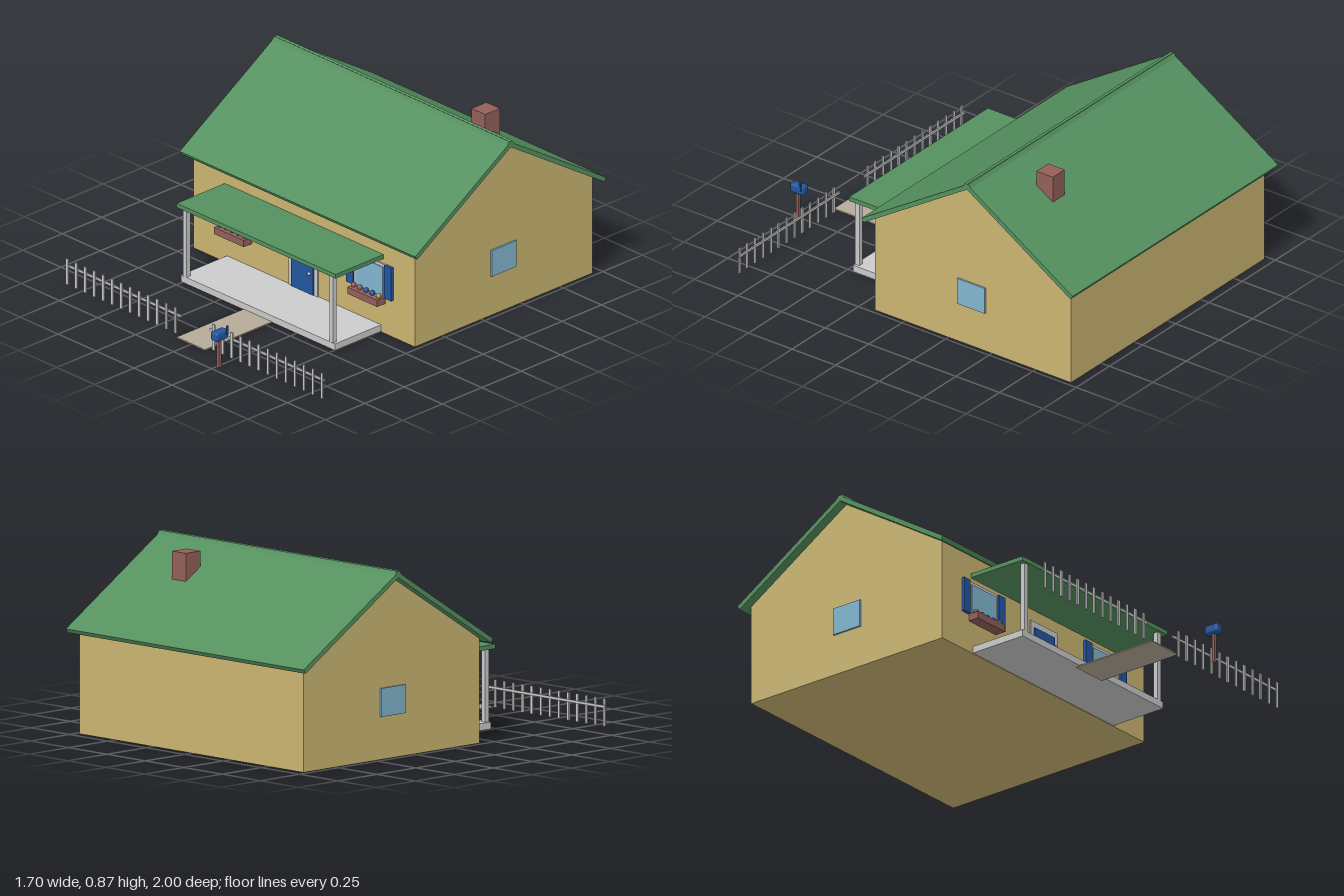
import * as THREE from 'three';
import { RoundedBoxGeometry } from 'three/addons/geometries/RoundedBoxGeometry.js';

const mat = (name, color) => Object.assign(new THREE.MeshStandardMaterial({ color }), { name });

export function createModel() {
  const root = new THREE.Group();
  root.name = 'cottage';
  const wall = mat('sandWall', 0xcab572);
  const green = mat('roofGreen', 0x55905f);
  const white = mat('paintedWhite', 0xcbcbcb);
  const blue = mat('shutterBlue', 0x2256a0);
  const glass = mat('windowGlass', 0x82b6cf);
  const brick = mat('brickRed', 0x935f59);
  const stone = mat('pathStone', 0xb6ab9a);
  const brass = mat('brass', 0xb89c58);

  const add = (parent, name, geometry, material, x = 0, y = 0, z = 0) => {
    const m = new THREE.Mesh(geometry, material);
    m.name = name;
    m.position.set(x, y, z);
    parent.add(m);
    return m;
  };
  // Box given by its lower and upper limits on each axis
  const box = (parent, name, material, [x0, x1], [y0, y1], [z0, z1]) =>
    add(parent, name, new THREE.BoxGeometry(x1 - x0, y1 - y0, z1 - z0), material,
      (x0 + x1) / 2, (y0 + y1) / 2, (z0 + z1) / 2);
  // Profile of (z, y) points stretched along x, centred
  const prism = (name, material, points, width) => {
    const shape = new THREE.Shape(points.map(([z, y]) => new THREE.Vector2(z, y)));
    const g = new THREE.ExtrudeGeometry(shape, { depth: width, bevelEnabled: false });
    g.rotateY(-Math.PI / 2).translate(width / 2, 0, 0);
    return add(root, name, g, material);
  };

  // House body with gables
  const ridgeZ = -0.392;
  prism('houseWalls', wall,
    [[0.172, 0], [0.172, 0.487], [ridgeZ, 0.838], [-0.954, 0.487], [-0.954, 0]], 1.458);

  // Two roof slabs crossing slightly at the ridge
  const slab = [[-0.401, 0.872], [0.214, 0.486], [0.202, 0.467], [-0.413, 0.853]];
  prism('frontRoof', green, slab, 1.55);
  prism('backRoof', green, slab.map(([z, y]) => [2 * ridgeZ - z, y]), 1.55);
  box(root, 'chimney', brick, [0.36, 0.45], [0.62, 0.843], [-0.637, -0.543]);

  // Porch
  box(root, 'porchFloor', white, [-0.507, 0.507], [0.003, 0.036], [0.172, 0.465]);
  box(root, 'porchRoof', green, [-0.523, 0.523], [0.376, 0.397], [0.172, 0.476]);
  for (const s of [-1, 1]) {
    const x = s * 0.481;
    box(root, 'porchPost', white, [x - 0.012, x + 0.012], [0.036, 0.376], [0.44, 0.464]);
  }
  box(root, 'path', stone, [-0.093, 0.093], [0, 0.006], [0.44, 0.89]);

  // Door
  box(root, 'doorFrame', white, [-0.095, 0.095], [0.036, 0.317], [0.165, 0.178]);
  box(root, 'door', blue, [-0.074, 0.072], [0.038, 0.285], [0.172, 0.184]);
  add(root, 'doorKnob', new THREE.SphereGeometry(0.008, 10, 8), white, 0.05, 0.143, 0.19);
  const bell = add(root, 'doorBell', new THREE.BoxGeometry(0.012, 0.034, 0.014), brass, 0.079, 0.23, 0.184);
  bell.rotation.z = 0.3;

  // Front windows with shutters and flower boxes
  const bloom = new THREE.IcosahedronGeometry(0.013, 1);
  const bloomColors = [brick, brick, blue, blue, brass];
  for (const s of [-1, 1]) {
    const w = new THREE.Group();
    w.name = 'frontWindow';
    w.position.x = s * 0.439;
    root.add(w);
    box(w, 'windowFrame', white, [-0.102, 0.102], [0.186, 0.352], [0.165, 0.179]);
    box(w, 'windowPane', glass, [-0.09, 0.09], [0.19, 0.338], [0.172, 0.183]);
    for (const t of [-1, 1]) {
      box(w, 'shutter', blue, [t * 0.126 - 0.023, t * 0.126 + 0.023], [0.187, 0.354], [0.165, 0.187]);
    }
    box(w, 'flowerBox', brick, [-0.098, 0.098], [0.154, 0.188], [0.172, 0.226]);
    bloomColors.forEach((c, i) => add(w, 'flower', bloom, c, (i - 2) * 0.041, 0.198, 0.202));
  }

  // Side windows
  for (const s of [-1, 1]) {
    add(root, 'sideWindow', new THREE.BoxGeometry(0.02, 0.132, 0.158), glass, s * 0.728, 0.265, -0.386);
  }

  // Picket fence on both sides of the path
  const picket = new THREE.BoxGeometry(0.014, 0.13, 0.007);
  for (const s of [-1, 1]) {
    const fence = new THREE.Group();
    fence.name = 'fence';
    root.add(fence);
    add(fence, 'fenceRail', new THREE.BoxGeometry(0.757, 0.012, 0.007), white, s * 0.4715, 0.1, 0.859);
    for (let i = 0; i < 13; i++) {
      add(fence, 'picket', picket, white, s * (0.838 - i * 0.0593), 0.072, 0.866);
    }
  }

  // Mailbox
  const mail = new THREE.Group();
  mail.name = 'mailbox';
  mail.position.set(0.263, 0, 0.961);
  root.add(mail);
  add(mail, 'mailboxPost', new THREE.BoxGeometry(0.015, 0.15, 0.015), brick, 0, 0.075, 0.004);
  add(mail, 'mailboxBody', new RoundedBoxGeometry(0.046, 0.046, 0.078, 2, 0.012), blue, 0, 0.164, 0);
  box(mail, 'mailboxFlag', blue, [0.022, 0.027], [0.165, 0.209], [-0.03, -0.02]);

  return root;
}
